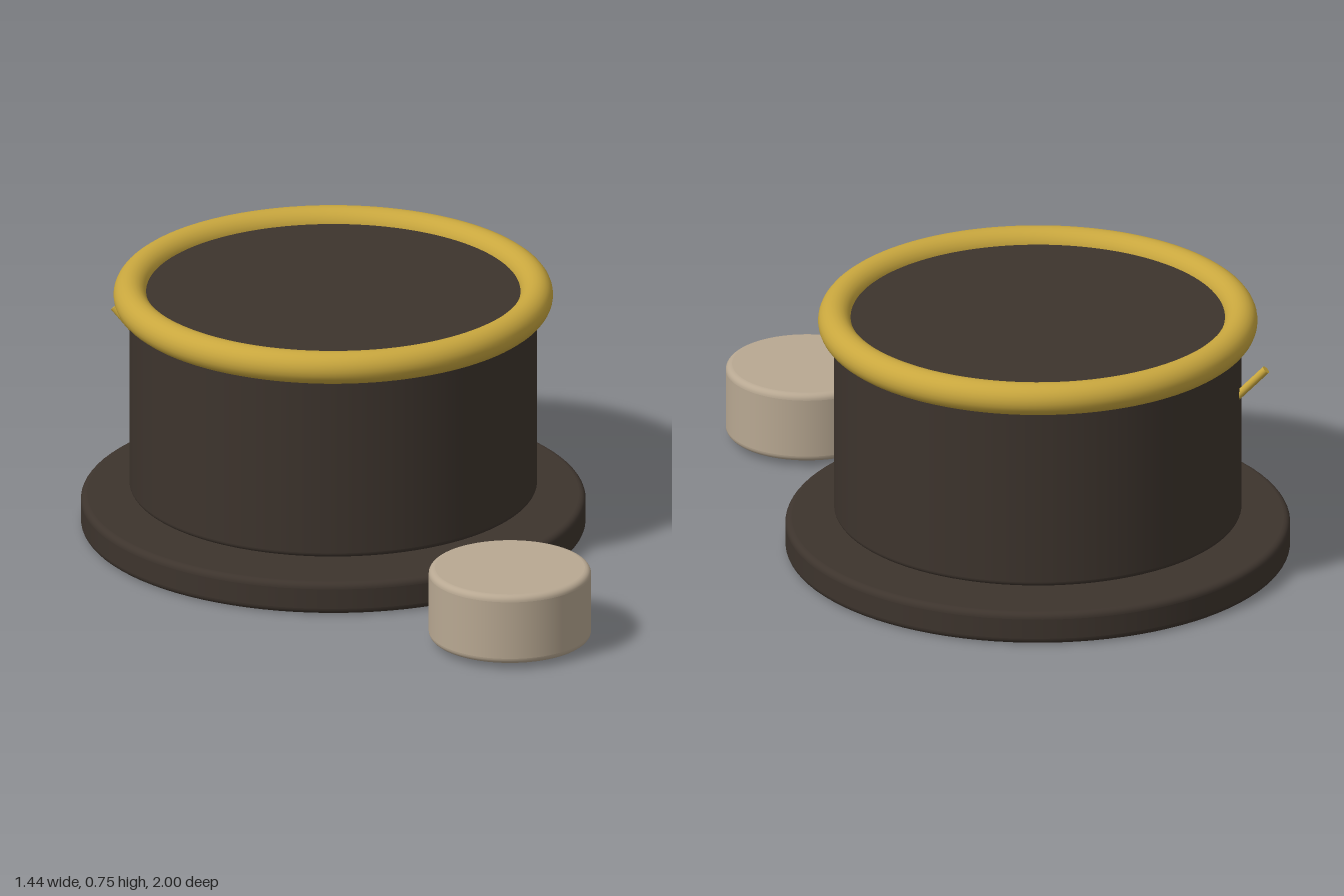
import * as THREE from 'three';

const dark = new THREE.MeshStandardMaterial({ color: 0x3d342d });
dark.name = 'dark brown';
const gold = new THREE.MeshStandardMaterial({ color: 0xc9a73e });
gold.name = 'gold';
const cream = new THREE.MeshStandardMaterial({ color: 0xb8a892 });
cream.name = 'warm beige';

const CENTRE_Z = -0.282;

// Solid disc with rounded rims; the flat caps and wall are separate lathe strips so their normals stay clean
function roundedDisc(name, radius, bottom, top, bevel, material) {
  const group = new THREE.Group();
  group.name = name;
  const arc = (cy, from) => Array.from({ length: 7 }, (_, i) => {
    const a = from + (i / 6) * Math.PI / 2;
    return new THREE.Vector2(radius - bevel + Math.cos(a) * bevel, cy + Math.sin(a) * bevel);
  });
  const lower = arc(bottom + bevel, -Math.PI / 2);
  const upper = arc(top - bevel, 0);
  const strips = {
    Underside: [new THREE.Vector2(0, bottom), lower[0]],
    LowerRim: lower,
    Wall: [lower[6], upper[0]],
    UpperRim: upper,
    Top: [upper[6], new THREE.Vector2(0, top)],
  };
  for (const [part, points] of Object.entries(strips)) {
    const mesh = new THREE.Mesh(new THREE.LatheGeometry(points, 96), material);
    mesh.name = name + part;
    group.add(mesh);
  }
  return group;
}

export function createModel() {
  const model = new THREE.Group();
  model.name = 'drumWithPuck';

  // Wide base plate with the drum floating just above it
  const base = roundedDisc('basePlate', 0.718, 0, 0.095, 0.018, dark);
  const body = roundedDisc('drumBody', 0.58, 0.12, 0.71, 0.014, dark);
  base.position.z = body.position.z = CENTRE_Z;

  // Gold ring around the top edge
  const ring = new THREE.Mesh(new THREE.TorusGeometry(0.578, 0.047, 24, 128), gold);
  ring.name = 'rimRing';
  ring.rotation.x = Math.PI / 2;
  ring.position.set(0, 0.7, CENTRE_Z);

  // Small pin sticking out and up from the back of the drum
  const out = new THREE.Vector3(-0.688, 0, -0.726);
  const at = (r, y) => out.clone().multiplyScalar(r).add(new THREE.Vector3(0, y, CENTRE_Z));
  const pinPath = new THREE.LineCurve3(at(0.55, 0.475), at(0.655, 0.585));
  const pin = new THREE.Mesh(new THREE.CylinderGeometry(0.012, 0.012, pinPath.getLength(), 16), gold);
  pin.name = 'pin';
  pin.position.copy(pinPath.getPoint(0.5));
  pin.quaternion.setFromUnitVectors(new THREE.Vector3(0, 1, 0), pinPath.getTangent(0.5));

  // Separate small puck in front
  const puck = roundedDisc('puck', 0.231, 0.015, 0.223, 0.018, cream);
  puck.position.z = 0.768;

  model.add(base, body, ring, pin, puck);
  return model;
}
